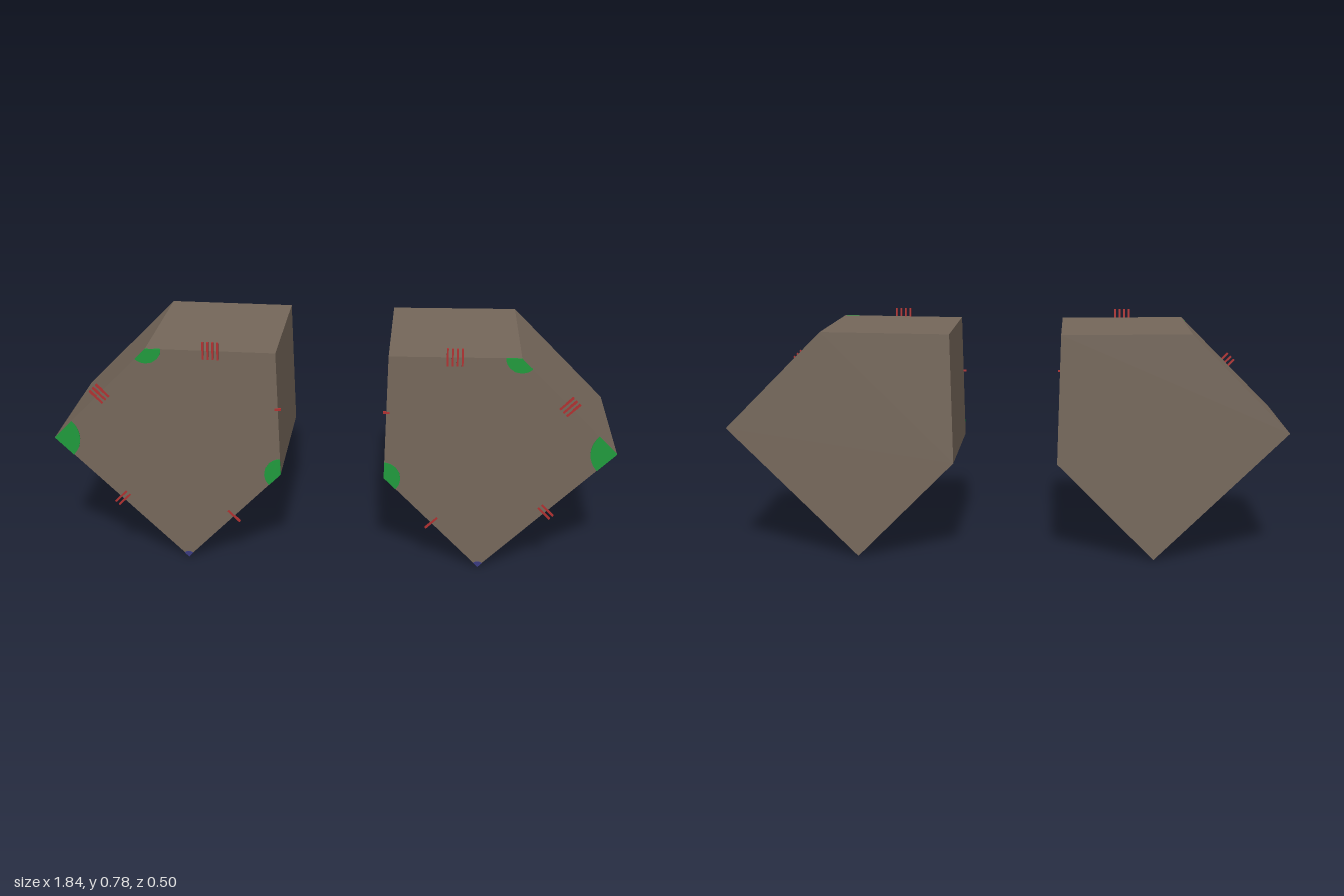
import * as THREE from 'three';

const FRONT = 0.243, BACK = -0.25;

// Pentagon corners on the +x side: inner top, outer top, outer, bottom, inner
const CORNERS = [[0.18, 0.825], [0.6, 0.83], [0.92, 0.51], [0.49, 0.08], [0.17, 0.4]];

// Tick marks by edge (edge i runs from corner i to i + 1): count, length, shift along edge
const TICKS = [[4, 0.058, 0], [3, 0.058, 0], [2, 0.055, 0], [1, 0.055, 0], [1, 0.02, 0.02]];

// Angle wedges: corner, radius
const WEDGES = [[1, 0.05], [2, 0.085], [4, 0.055]];

const paint = (color) => new THREE.MeshStandardMaterial({ color, flatShading: true });

function addPart(group, name, geometry, material) {
  const mesh = new THREE.Mesh(geometry, material);
  mesh.name = name;
  group.add(mesh);
  return mesh;
}

function slab(shape, z0, z1) {
  const geometry = new THREE.ExtrudeGeometry(shape, { depth: z1 - z0, bevelEnabled: false });
  return geometry.translate(0, 0, z0);
}

// Pie slice filling the inside angle at p between neighbours a and b
function wedgeShape(p, a, b, radius) {
  const u = a.clone().sub(p).normalize();
  const v = b.clone().sub(p).normalize();
  const points = [p];
  for (let i = 0; i <= 10; i++) {
    const dir = u.clone().lerp(v, i / 10).normalize();
    points.push(dir.multiplyScalar(radius).add(p));
  }
  return new THREE.Shape(points);
}

function createPrism(side, name, mats) {
  const group = new THREE.Group();
  group.name = name;
  const pts = CORNERS.map(([x, y]) => new THREE.Vector2(side * x, y));
  const n = pts.length;

  // Solid body
  addPart(group, 'pentagonPrism', slab(new THREE.Shape(pts), BACK, FRONT), mats.body);

  // Angle marks on the front face
  for (const [i, radius] of WEDGES) {
    const shape = wedgeShape(pts[i], pts[(i + n - 1) % n], pts[(i + 1) % n], radius);
    addPart(group, 'angleWedge', slab(shape, FRONT - 0.004, FRONT + 0.003), mats.wedge);
  }
  const tip = wedgeShape(pts[3], pts[2], pts[4], 0.02);
  addPart(group, 'bottomAngleMark', slab(tip, FRONT - 0.004, FRONT + 0.003), mats.tip);

  // Tick marks across each edge
  TICKS.forEach(([count, length, shift], i) => {
    const a = pts[i], b = pts[(i + 1) % n];
    const dir = b.clone().sub(a).normalize();
    const mid = a.clone().add(b).multiplyScalar(0.5);
    for (let k = 0; k < count; k++) {
      const offset = (k - (count - 1) / 2) * 0.016 + shift;
      const tick = addPart(group, 'edgeTick', new THREE.BoxGeometry(0.006, length, 0.008), mats.tick);
      tick.position.set(mid.x + dir.x * offset, mid.y + dir.y * offset, FRONT);
      tick.rotation.z = Math.atan2(dir.y, dir.x);
    }
  });
  return group;
}

export function createModel() {
  const model = new THREE.Group();
  model.name = 'congruentPentagons';
  const mats = {
    body: paint(0x75675a),
    wedge: paint(0x1f9a3c),
    tip: paint(0x3a3a80),
    tick: paint(0xb03030),
  };
  model.add(createPrism(1, 'leftPrism', mats), createPrism(-1, 'rightPrism', mats));
  return model;
}
